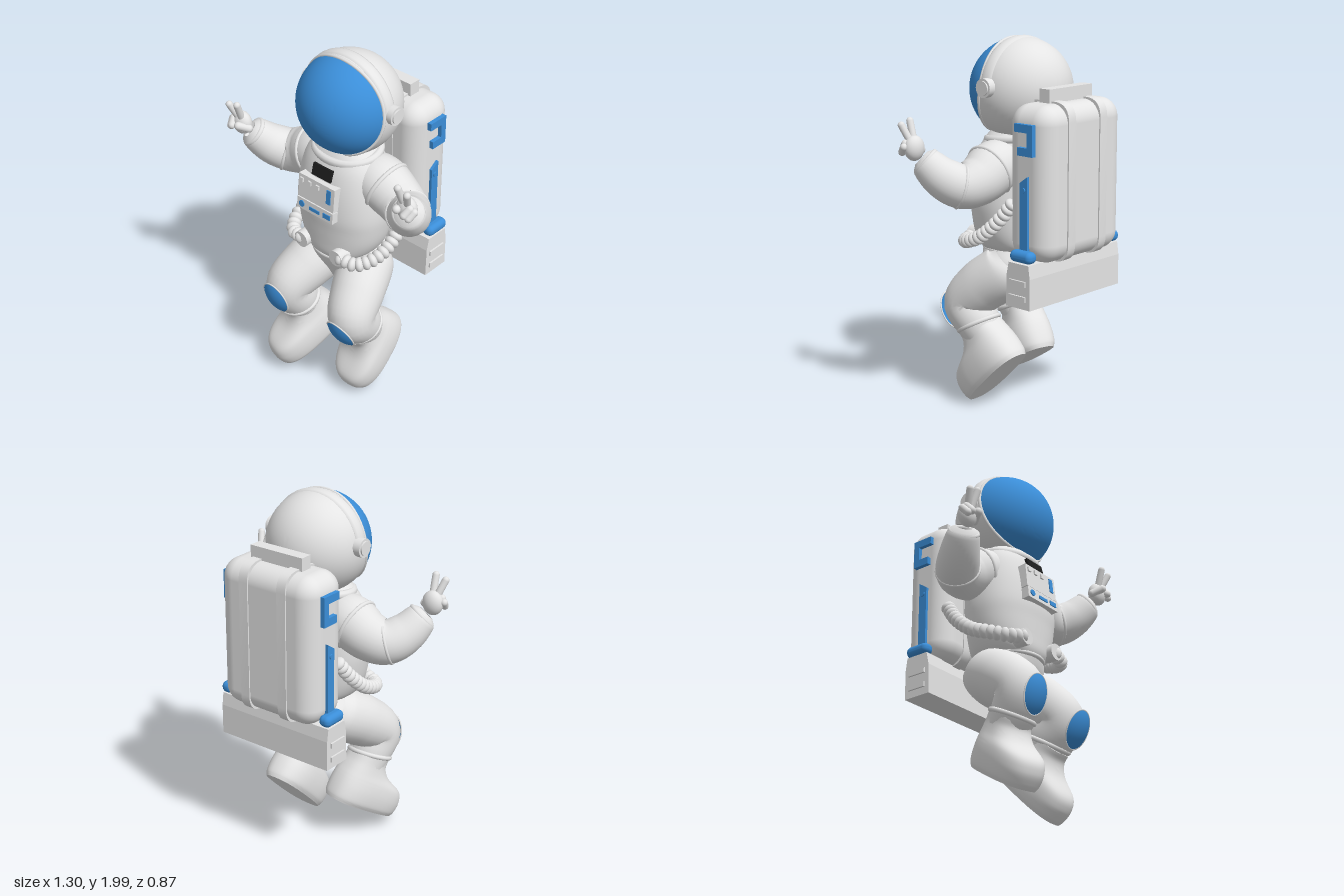
import * as THREE from 'three';
import { toCreasedNormals } from 'three/addons/utils/BufferGeometryUtils.js';
import { RoundedBoxGeometry } from 'three/addons/geometries/RoundedBoxGeometry.js';
import { ParametricGeometry } from 'three/addons/geometries/ParametricGeometry.js';

const V = (x, y, z) => new THREE.Vector3(x, y, z);
const material = (name, color, side = THREE.FrontSide) => {
  const m = new THREE.MeshStandardMaterial({ color, side });
  m.name = name;
  return m;
};

// Stacked rounded sections [y, centreZ, halfWidth, halfDepth], bottom to top, with flat ends
function loft(sections, power = 0.88) {
  const rows = 36;
  const a = new THREE.CatmullRomCurve3(sections.map(s => V(s[0], s[1], 0)), false, 'catmullrom');
  const b = new THREE.CatmullRomCurve3(sections.map(s => V(s[2], s[3], 0)), false, 'catmullrom');
  const bend = c => Math.sign(c) * Math.abs(c) ** power;
  const geo = new ParametricGeometry((u, v, out) => {
    const row = Math.round(v * rows);
    const t = THREE.MathUtils.clamp((row - 1) / (rows - 2), 0, 1);
    const p = a.getPoint(t), r = b.getPoint(t), f = -2 * Math.PI * u;
    const k = row === 0 || row === rows ? 0.001 : 1;
    out.set(k * r.x * bend(Math.cos(f)), p.x, p.y + k * r.y * bend(Math.sin(f)));
  }, 48, rows);
  return toCreasedNormals(geo, 0.9);
}

// Tube of varying thickness through [x, y, z, radius]
function limb(points) {
  const rows = 36, sides = 28;
  const path = new THREE.CatmullRomCurve3(points.map(p => V(p[0], p[1], p[2])));
  const radii = new THREE.CatmullRomCurve3(points.map(p => V(p[3], 0, 0)), false, 'catmullrom');
  const geo = new THREE.TubeGeometry(path, rows, 1, sides);
  const pos = geo.attributes.position, v = V(0, 0, 0);
  for (let i = 0; i < pos.count; i++) {
    const u = Math.floor(i / (sides + 1)) / rows, c = path.getPointAt(u);
    v.fromBufferAttribute(pos, i).sub(c).multiplyScalar(radii.getPoint(path.getUtoTmapping(u)).x).add(c);
    pos.setXYZ(i, v.x, v.y, v.z);
  }
  return toCreasedNormals(geo, 1.2);
}

// Side outline of [z, y] points, extruded across x
function sideExtrude(shape, width) {
  const s = Array.isArray(shape) ? new THREE.Shape(shape.map(p => new THREE.Vector2(...p))) : shape;
  return new THREE.ExtrudeGeometry(s, { depth: width, bevelEnabled: false, curveSegments: 8 })
    .translate(0, 0, -width / 2).rotateY(-Math.PI / 2);
}

// Helmet surface between two angles from the forward pole
const seamAngle = f => Math.acos((0.045 - 0.04 * Math.sin(f) + 0.05 * Math.sin(f) ** 2) / 0.275);
const helmetPoint = (f, th, k, out) => out.set(
  0.275 * k * Math.sin(th) * Math.cos(f), 1.721 + 0.271 * k * Math.sin(th) * Math.sin(f), 0.035 + 0.275 * k * Math.cos(th));
const helmetPatch = (from, to, k) => toCreasedNormals(new ParametricGeometry((u, v, out) => {
  const f = -2 * Math.PI * u;
  helmetPoint(f, THREE.MathUtils.lerp(from(f), to(f), v), k, out);
}, 56, 28), 1.2);

export function createModel() {
  const model = new THREE.Group();
  model.name = 'astronaut';
  const suit = material('suit white', 0xe4e4e4, THREE.DoubleSide);
  const blue = material('accent blue', 0x3b8ed8, THREE.DoubleSide);
  const black = material('badge black', 0x1e1e1e);

  const add = (name, geo, mat = suit, x = 0, y = 0, z = 0, parent = model) => {
    const m = new THREE.Mesh(geo, mat);
    m.name = name;
    m.position.set(x, y, z);
    parent.add(m);
    return m;
  };
  const box = (name, w, h, d, mat, x, y, z, parent) => add(name, new THREE.BoxGeometry(w, h, d), mat, x, y, z, parent);
  const ball = (name, x, y, z, rx, ry, rz) => {
    const m = add(name, new THREE.SphereGeometry(1, 24, 16), suit, x, y, z);
    m.scale.set(rx, ry, rz);
    return m;
  };
  const ring = (name, at, dir, radius, tube) => {
    const m = add(name, new THREE.TorusGeometry(radius, tube, 10, 40), suit, ...at.toArray());
    m.lookAt(at.clone().add(dir));
    return m;
  };
  const capsule = (name, a, b, r) => {
    const m = add(name, new THREE.CapsuleGeometry(r, a.distanceTo(b), 6, 14), suit, ...a.clone().lerp(b, 0.5).toArray());
    m.quaternion.setFromUnitVectors(V(0, 1, 0), b.clone().sub(a).normalize());
  };

  // Helmet, visor, rim, head band
  add('helmetShell', helmetPatch(seamAngle, () => Math.PI, 1));
  add('visor', helmetPatch(() => 0, f => seamAngle(f) - 0.02, 0.995), blue);
  const rim = Array.from({ length: 40 }, (_, i) => {
    const f = i / 40 * 2 * Math.PI;
    return helmetPoint(f, seamAngle(f), 0.99, V(0, 0, 0));
  });
  add('visorRim', new THREE.TubeGeometry(new THREE.CatmullRomCurve3(rim, true), 100, 0.01, 8, true));
  add('headBand', new THREE.TorusGeometry(0.262, 0.014, 10, 60, Math.PI), suit, 0, 1.725, 0.035).scale.set(1.03, 0.992, 2.7);

  // Torso, collar, hips
  add('torso', loft([[0.86, 0.075, 0.165, 0.17], [0.9, 0.07, 0.205, 0.19], [0.97, 0.07, 0.24, 0.195],
    [1.06, 0.07, 0.26, 0.2], [1.15, 0.07, 0.268, 0.205], [1.28, 0.065, 0.258, 0.197], [1.39, 0.06, 0.235, 0.176],
    [1.46, 0.055, 0.198, 0.15], [1.52, 0.05, 0.14, 0.12]]));
  ring('collar', V(0, 1.465, 0.05), V(0, 1, 0.1), 0.18, 0.024).scale.y = 0.86;
  add('hips', loft([[0.62, 0.05, 0.06, 0.07], [0.67, 0.03, 0.15, 0.13], [0.74, 0.02, 0.215, 0.175],
    [0.81, 0.03, 0.215, 0.195], [0.88, 0.07, 0.17, 0.172]]));
  ring('belt', V(0, 0.865, 0.075), V(0, 1, 0), 0.17, 0.012);

  // Chest panel and badge
  const panel = new THREE.Group();
  panel.name = 'chestPanel';
  panel.position.set(-0.005, 1.245, 0.258);
  panel.rotation.x = -0.1;
  model.add(panel);
  box('panelUpper', 0.25, 0.135, 0.06, suit, 0, 0.033, 0, panel);
  box('panelLower', 0.25, 0.062, 0.066, suit, 0, -0.07, 0, panel);
  for (const x of [-0.1, -0.045, 0.01]) box('panelButton', 0.022, 0.024, 0.014, suit, x, 0.07, 0.032, panel);
  box('panelGauge', 0.028, 0.08, 0.008, blue, 0.088, 0.045, 0.031, panel);
  add('panelDial', new THREE.CylinderGeometry(0.018, 0.018, 0.008, 16).rotateX(Math.PI / 2), blue, -0.09, -0.07, 0.034, panel);
  box('panelBar', 0.07, 0.018, 0.008, blue, 0, -0.073, 0.034, panel);
  box('panelSwitch', 0.05, 0.026, 0.008, blue, 0.085, -0.07, 0.034, panel);
  box('badge', 0.13, 0.066, 0.045, black, 0, 1.383, 0.224).rotation.x = -0.25;

  for (const s of [1, -1]) {
    const P = (x, y, z) => V(s * x, y, z);
    // Earpiece
    add('earpiece', new THREE.CylinderGeometry(0.05, 0.05, 0.05, 28).rotateZ(Math.PI / 2), suit, s * 0.28, 1.75, 0.02);
    add('earpieceCap', new THREE.CylinderGeometry(0.038, 0.038, 0.06, 28).rotateZ(Math.PI / 2), suit, s * 0.283, 1.75, 0.02);

    // Arm with seams
    add('arm', limb([[0.12, 1.34, 0.04, 0.13], [0.22, 1.325, 0.03, 0.143], [0.33, 1.275, 0.03, 0.13], [0.42, 1.255, 0.06, 0.118],
      [0.49, 1.3, 0.13, 0.107], [0.545, 1.385, 0.205, 0.08], [0.555, 1.4, 0.218, 0.045]].map(p => [s * p[0], p[1], p[2], p[3]])));
    ring('shoulderSeam', P(0.25, 1.315, 0.03), P(0.92, -0.35, 0), 0.137, 0.012);
    ring('elbowSeam', P(0.425, 1.257, 0.065), P(0.8, 0.25, 0.5), 0.114, 0.009);
    ring('wristCuff', P(0.54, 1.38, 0.2), P(0.45, 0.65, 0.6), 0.07, 0.014);

    // Hand: two raised fingers, curled fingers and thumb
    ball('palm', s * 0.572, 1.45, 0.25, 0.058, 0.066, 0.046);
    capsule('indexFinger', P(0.562, 1.48, 0.262), P(0.553, 1.583, 0.3), 0.019);
    capsule('middleFinger', P(0.585, 1.48, 0.262), P(0.612, 1.567, 0.3), 0.019);
    capsule('ringFinger', P(0.61, 1.475, 0.275), P(0.598, 1.445, 0.302), 0.021);
    capsule('littleFinger', P(0.63, 1.46, 0.265), P(0.618, 1.43, 0.292), 0.02);
    capsule('thumb', P(0.52, 1.435, 0.255), P(0.55, 1.46, 0.302), 0.022);

    // Ribbed hose from belt front to backpack
    const hose = new THREE.CatmullRomCurve3([P(0.14, 0.92, 0.262), P(0.22, 0.905, 0.24), P(0.28, 0.925, 0.16),
      P(0.297, 0.97, 0.05), P(0.288, 1.06, -0.06), P(0.262, 1.16, -0.14)]);
    for (let i = 0; i <= 16; i++) {
      const at = hose.getPointAt(i / 16);
      ball('hoseRib', at.x, at.y, at.z, 0.039, 0.039, 0.026).lookAt(at.clone().add(hose.getTangentAt(i / 16)));
    }
    add('hoseFitting', new THREE.CylinderGeometry(0.046, 0.046, 0.07, 24).rotateX(Math.PI / 2), suit, s * 0.125, 0.92, 0.25);

    // Leg: the left one is bent lower and further back
    const left = s > 0;
    add('leg', limb((left
      ? [[0.1, 0.8, 0, 0.12], [0.12, 0.755, 0.03, 0.148], [0.17, 0.66, 0.155, 0.146], [0.205, 0.55, 0.245, 0.13], [0.2, 0.46, 0.175, 0.122], [0.19, 0.37, 0.11, 0.1]]
      : [[0.1, 0.8, 0, 0.12], [0.12, 0.765, 0.04, 0.148], [0.17, 0.685, 0.18, 0.146], [0.21, 0.58, 0.3, 0.128], [0.2, 0.48, 0.255, 0.12], [0.195, 0.38, 0.19, 0.1]]
    ).map(p => [s * p[0], p[1], p[2], p[3]])));
    ring('trouserHem', left ? V(0.198, 0.447, 0.166) : V(-0.2, 0.46, 0.242), left ? V(0, 0.85, 0.5) : V(0, 0.9, 0.42), 0.115, 0.013);

    // Knee pad with thin rim
    const pad = new THREE.Group();
    pad.name = 'kneePad';
    pad.position.set(s * 0.215, left ? 0.538 : 0.562, left ? 0.253 : 0.302);
    pad.rotation.x = left ? 0.46 : 0.26;
    pad.scale.set(1, 1.25, 1);
    model.add(pad);
    add('padFace', new THREE.SphereGeometry(0.134, 28, 10, 0, 2 * Math.PI, 0, 0.68).rotateX(Math.PI / 2), blue, 0, 0, 0, pad);
    add('padRim', new THREE.TorusGeometry(0.085, 0.004, 8, 36), suit, 0, 0, 0.102, pad);

    // Boot, tipped toe-down; the right one is flatter and turned out
    const boot = new THREE.Group();
    boot.name = 'boot';
    boot.position.copy(left ? V(0.19, 0.335, -0.13) : V(-0.125, 0.278, -0.03));
    boot.rotation.set(left ? Math.PI / 4 : 0.54, left ? 0 : -0.28, 0, 'YXZ');
    model.add(boot);
    add('bootBody', loft([[0, 0.237, 0.112, 0.23], [0.03, 0.237, 0.128, 0.238], [0.09, 0.237, 0.135, 0.238],
      [0.15, 0.222, 0.13, 0.217], [0.2, 0.168, 0.115, 0.152], [0.25, 0.145, 0.106, 0.118],
      [0.3, 0.142, 0.104, 0.11]], 0.76), suit, 0, 0, 0, boot);

    // Backpack side fittings
    add('sideBracket', sideExtrude([[-0.22, 1.6], [-0.34, 1.6], [-0.34, 1.44], [-0.24, 1.44],
      [-0.24, 1.482], [-0.305, 1.482], [-0.305, 1.558], [-0.22, 1.558]], 0.06), blue, s * 0.298);
    add('sideStrip', sideExtrude([[-0.25, 0.93], [-0.3, 0.93], [-0.3, 1.335], [-0.25, 1.3]], 0.05), blue, s * 0.296);
    add('stripRivet', new THREE.CylinderGeometry(0.014, 0.014, 0.01, 16).rotateZ(Math.PI / 2), blue, s * 0.323, 1.265, -0.275);
    add('sideClip', new RoundedBoxGeometry(0.07, 0.062, 0.145, 5, 0.028), blue, s * 0.328, 0.925, -0.28);
    for (const y of [0.79, 0.71]) box('baseVent', 0.012, 0.028, 0.11, suit, s * 0.359, y, -0.268);

    // Vertical strap around the pack
    const x0 = -0.427, x1 = -0.125, y0 = 0.875, y1 = 1.7, r = 0.1;
    const strap = new THREE.Shape().moveTo(x0 + r, y0).lineTo(x1 - r, y0).quadraticCurveTo(x1, y0, x1, y0 + r)
      .lineTo(x1, y1 - r).quadraticCurveTo(x1, y1, x1 - r, y1).lineTo(x0 + r, y1)
      .quadraticCurveTo(x0, y1, x0, y1 - r).lineTo(x0, y0 + r).quadraticCurveTo(x0, y0, x0 + r, y0);
    add('packStrap', toCreasedNormals(sideExtrude(strap, 0.055), 0.6), suit, s * 0.122);
  }

  // Backpack, top handle, base
  add('backpack', new RoundedBoxGeometry(0.61, 0.81, 0.29, 8, 0.1), suit, 0, 1.285, -0.275);
  box('packHandle', 0.33, 0.09, 0.068, suit, 0, 1.715, -0.277);
  add('packBase', sideExtrude([[-0.35, 0.655], [-0.185, 0.655], [-0.19, 0.82], [-0.205, 0.89], [-0.34, 0.89], [-0.35, 0.82]], 0.71));
  return model;
}
